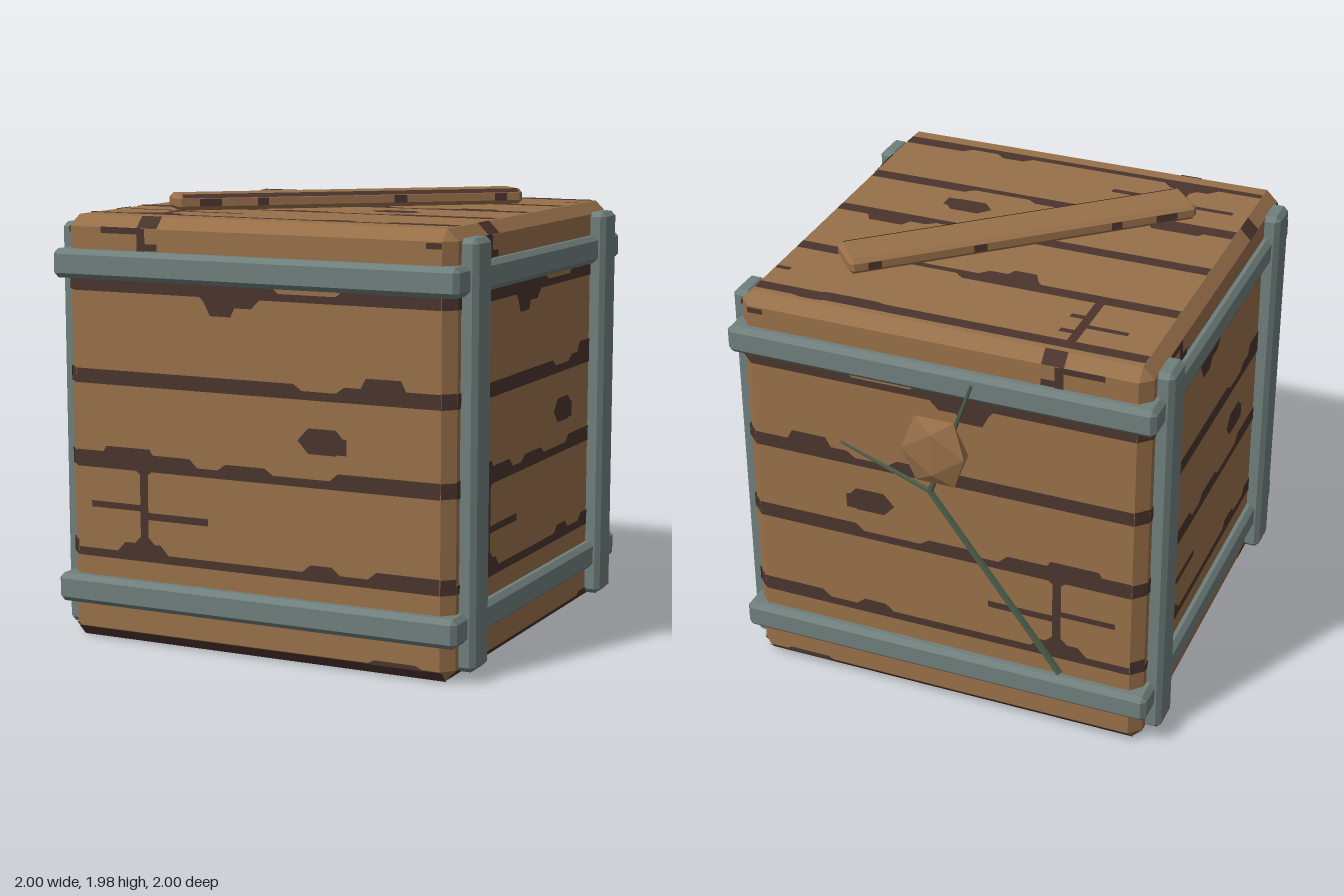
import * as THREE from 'three';
import { ConvexGeometry } from 'three/addons/geometries/ConvexGeometry.js';

const mat = (name, color, extra = {}) =>
  Object.assign(new THREE.MeshStandardMaterial({ color, ...extra }), { name });

export function createModel() {
  const wood = mat('wood', 0x987049, { flatShading: true });
  const grain = mat('dark grain', 0x4a342d, { side: THREE.DoubleSide });
  const metal = mat('grey metal', 0x6f7f7c, { flatShading: true });
  const stem = mat('stem green', 0x4c5e4a, { flatShading: true });
  const model = new THREE.Group();
  model.name = 'crate';

  const add = (name, geometry, material, x = 0, y = 0, z = 0, parent = model) => {
    const mesh = new THREE.Mesh(geometry, material);
    mesh.name = name;
    mesh.position.set(x, y, z);
    parent.add(mesh);
    return mesh;
  };

  // Box with all edges cut at 45 degrees
  const chamferBox = (w, h, d, b) => {
    const half = [w / 2, h / 2, d / 2], points = [];
    for (const sx of [-1, 1]) for (const sy of [-1, 1]) for (const sz of [-1, 1])
      for (let axis = 0; axis < 3; axis++) {
        const p = half.map((v, i) => (i === axis ? v : v - b));
        points.push(new THREE.Vector3(sx * p[0], sy * p[1], sz * p[2]));
      }
    return new ConvexGeometry(points);
  };

  // Crate body
  const zc = 0.025;
  add('body', chamferBox(1.86, 1.896, 1.85, 0.05), wood, 0, 0.952, zc);

  // Metal bands around the body, and posts on the two sides
  for (const y of [0.23, 1.688]) add('band', chamferBox(1.94, 0.128, 1.945, 0.022), metal, 0, y, 0.027);
  for (const x of [-0.955, 0.955]) for (const z of [-0.73, 0.785])
    add('post', chamferBox(0.09, 1.82, 0.168, 0.022), metal, x, 0.95, z);

  // Grain mark: a strip from u0 to u1 that grows from v by h and narrows by the taper at both ends
  const edge = 0.88;
  const mark = (u0, u1, v, h, taper = 0) => {
    const a = u0 <= -edge ? u0 : u0 + taper, b = u1 >= edge ? u1 : u1 - taper;
    return new THREE.Shape([[u0, v], [u1, v], [b, v + h], [a, v + h]].map((p) => new THREE.Vector2(...p)));
  };
  // Plank seam: a full-width strip with bumps [u0, u1, h]; negative bumps hang below it
  const seam = (v, h, bumps = []) => [mark(-edge, edge, v, h),
    ...bumps.map(([u0, u1, bump]) => mark(u0, u1, bump < 0 ? v : v + h, bump, 0.04))];

  // Grain shared by all six faces
  const shared = [
    ...seam(1.57, 0.032, [[-edge, 0.13, 0.033], [0.4, edge, 0.033], [-0.25, 0.04, -0.04], [-0.24, -0.06, -0.08]]),
    ...seam(1.16, 0.037, [[-edge, 0.24, 0.028], [0.4, edge, 0.028], [0.5, 0.74, 0.073]]),
    ...seam(0.785, 0.037, [[-edge, -0.27, 0.038], [-0.77, -0.47, 0.063], [-0.17, 0.1, 0.028], [0.37, edge, 0.033]]),
    ...seam(0.38, 0.037, [[-0.68, -0.42, 0.043], [0.24, 0.42, 0.033], [0.55, edge, 0.033]]),
    // Lower crack with two side splits
    mark(-0.56, -0.52, 0.42, 0.38), mark(-0.81, -0.54, 0.605, 0.028), mark(-0.54, -0.22, 0.57, 0.032),
    mark(-0.6, -0.48, 0.45, 0.04, 0.04), mark(-0.6, -0.48, 0.8, -0.03, 0.04),
    // Knot
    mark(0.22, 0.45, 0.985, 0.055, 0.05), mark(0.22, 0.45, 0.985, -0.055, 0.05), mark(0.38, 0.45, 0.935, 0.07),
    // Split beside the upper crack, and a nick near the edge
    mark(-0.74, -0.54, 0.825 + 1, 0.028), mark(0.81, edge, 1.82, 0.025), mark(-0.54, -0.46, 1.755, 0.03),
  ];
  const onWalls = [mark(-0.56, -0.52, 1.63, 0.22), mark(0.54, 0.81, 0.05, 0.02, 0.04)];
  const onTopAndBottom = [
    mark(-0.56, -0.52, 1.63, 0.35), mark(-0.54, -0.46, 1.885, 0.03),
    ...seam(1.975, 0.06, [[0.3, 0.6, -0.01], [0.55, 0.7, 0.01]]),
  ];
  const wallGrain = new THREE.ShapeGeometry([...shared, ...onWalls]);
  const lidGrain = new THREE.ShapeGeometry([...shared, ...onTopAndBottom]);

  add('frontGrain', wallGrain, grain, 0, 0, 0.954);
  add('backGrain', wallGrain, grain, 0, 0, -0.904);
  for (const s of [-1, 1]) add('sideGrain', wallGrain, grain, s * 0.934, 0, zc).rotation.y = s * Math.PI / 2;
  add('topGrain', lidGrain, grain, 0, 1.904, 1.21).rotation.x = -Math.PI / 2;
  add('bottomGrain', lidGrain, grain, 0, 0, 1.21).rotation.x = -Math.PI / 2;

  // Grain on the cut edges: a plate facing the given direction
  const edgePlate = (w, h, p, n) => {
    const dir = new THREE.Vector3(...n).normalize();
    const pos = new THREE.Vector3(...p).addScaledVector(dir, 0.003);
    add('edgeGrain', new THREE.PlaneGeometry(w, h), grain, pos.x, pos.y, pos.z).lookAt(pos.clone().add(dir));
  };
  const cut = 0.071;
  for (const s of [-1, 1]) {
    for (const t of [-1, 1])
      for (const y of [1.603, 1.193, 0.82, 0.413]) edgePlate(cut, 0.067, [s * 0.905, y, zc + t * 0.9], [s, 0, t]);
    edgePlate(1.78, cut, [0, 0.029, zc + s * 0.9], [0, -1, s]);
    edgePlate(1.76, cut, [s * 0.905, 0.029, zc], [s, -1, 0]);
    edgePlate(0.1, cut, [-0.51, 1.875, zc + s * 0.9], [0, 1, s]);
    edgePlate(0.12, cut, [s * 0.905, 1.875, 0.53], [s, 1, 0]);
  }

  // Loose plank lying across the top
  const plank = new THREE.Group();
  plank.name = 'loosePlank';
  plank.position.set(0, 1.94, 0.022);
  plank.rotation.y = 0.722;
  model.add(plank);
  add('plankBoard', chamferBox(1.62, 0.07, 0.21, 0.018), wood, 0, 0, 0, plank);
  add('plankEdgeGrain', new THREE.PlaneGeometry(1.57, 0.024), grain, 0, 0.028, 0.098, plank).rotation.x = -Math.PI / 4;
  for (const [x, w] of [[-0.66, 0.1], [-0.42, 0.05], [0.22, 0.06], [0.7, 0.06]])
    for (const z of [-0.108, 0.108])
      add('plankSideGrain', new THREE.PlaneGeometry(w, 0.034), grain, x, 0, z, plank);

  // Thin forked twig on the back, with a faceted knob
  const twig = (from, to, r0, r1) => {
    const a = new THREE.Vector3(...from), b = new THREE.Vector3(...to), d = b.clone().sub(a);
    const mid = a.clone().add(b).multiplyScalar(0.5);
    add('twig', new THREE.CylinderGeometry(r1, r0, d.length(), 5), stem, mid.x, mid.y, mid.z)
      .quaternion.setFromUnitVectors(new THREE.Vector3(0, 1, 0), d.normalize());
  };
  const fork = [0.03, 1.14, -0.943];
  twig([-0.57, 0.33, -0.94], fork, 0.016, 0.014);
  twig(fork, [-0.17, 1.71, -0.946], 0.014, 0.008);
  twig(fork, [0.44, 1.3, -0.952], 0.012, 0.006);
  const knob = add('knob', new THREE.IcosahedronGeometry(1, 0), wood, -0.005, 1.36, -0.963);
  knob.scale.set(0.17, 0.188, 0.044);

  return model;
}
